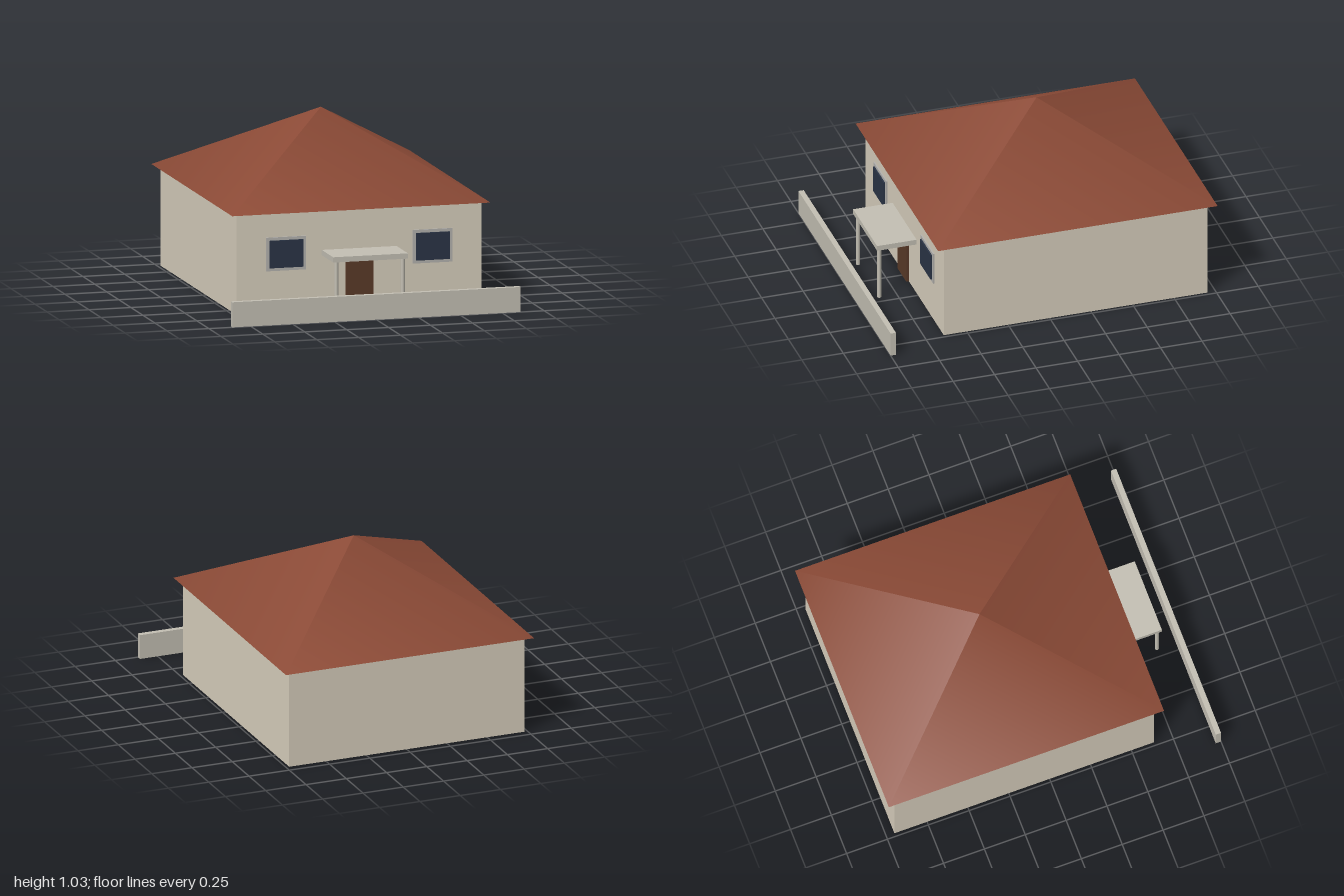
import * as THREE from 'three';

const material = (color) => new THREE.MeshStandardMaterial({ color });

export function createModel() {
  const house = new THREE.Group();
  house.name = 'house';

  const plaster = material(0xd8cfbd);
  const tile = material(0x8b4a36);
  const stone = material(0xc4c0b4);
  const trim = material(0xb4b2ae);
  const glass = material(0x2a3446);
  const wood = material(0x5a3a28);

  const add = (name, geometry, mat, x, y, z, parent = house) => {
    const mesh = new THREE.Mesh(geometry, mat);
    mesh.name = name;
    mesh.position.set(x, y, z);
    parent.add(mesh);
    return mesh;
  };
  // Box given by its bottom and top, back and front
  const box = (name, mat, x, width, y0, y1, z0, z1, parent) =>
    add(name, new THREE.BoxGeometry(width, y1 - y0, z1 - z0), mat,
      x, (y0 + y1) / 2, (z0 + z1) / 2, parent);

  // Main body
  box('walls', plaster, 0, 1.46, 0, 0.588, -0.95, 0.638);

  // Pyramid roof with overhanging eaves
  const roof = new THREE.ConeGeometry(Math.SQRT2, 1, 4);
  roof.rotateY(Math.PI / 4);
  roof.scale(0.77, 0.447, 0.842);
  add('roof', roof, tile, 0, 0.586 + 0.447 / 2, -0.157);

  // Door
  box('door', wood, 0, 0.16, 0, 0.29, 0.63, 0.654);

  // Windows: frame with a pane slightly proud of it
  for (const [side, x] of [['right', -0.437], ['left', 0.437]]) {
    const window = new THREE.Group();
    window.name = `${side}Window`;
    house.add(window);
    box('windowFrame', trim, x, 0.238, 0.246, 0.442, 0.63, 0.646, window);
    box('windowPane', glass, x, 0.2, 0.264, 0.424, 0.632, 0.655, window);
  }

  // Porch canopy on two round posts
  const porch = new THREE.Group();
  porch.name = 'porch';
  house.add(porch);
  box('canopy', stone, 0, 0.446, 0.322, 0.353, 0.636, 0.876, porch);
  for (const x of [-0.198, 0.198]) {
    add('porchPost', new THREE.CylinderGeometry(0.012, 0.012, 0.322, 12), stone, x, 0.161, 0.855, porch);
  }

  // Low wall along the front of the plot
  box('gardenWall', stone, 0, 1.72, 0, 0.146, 0.968, 1);

  return house;
}
